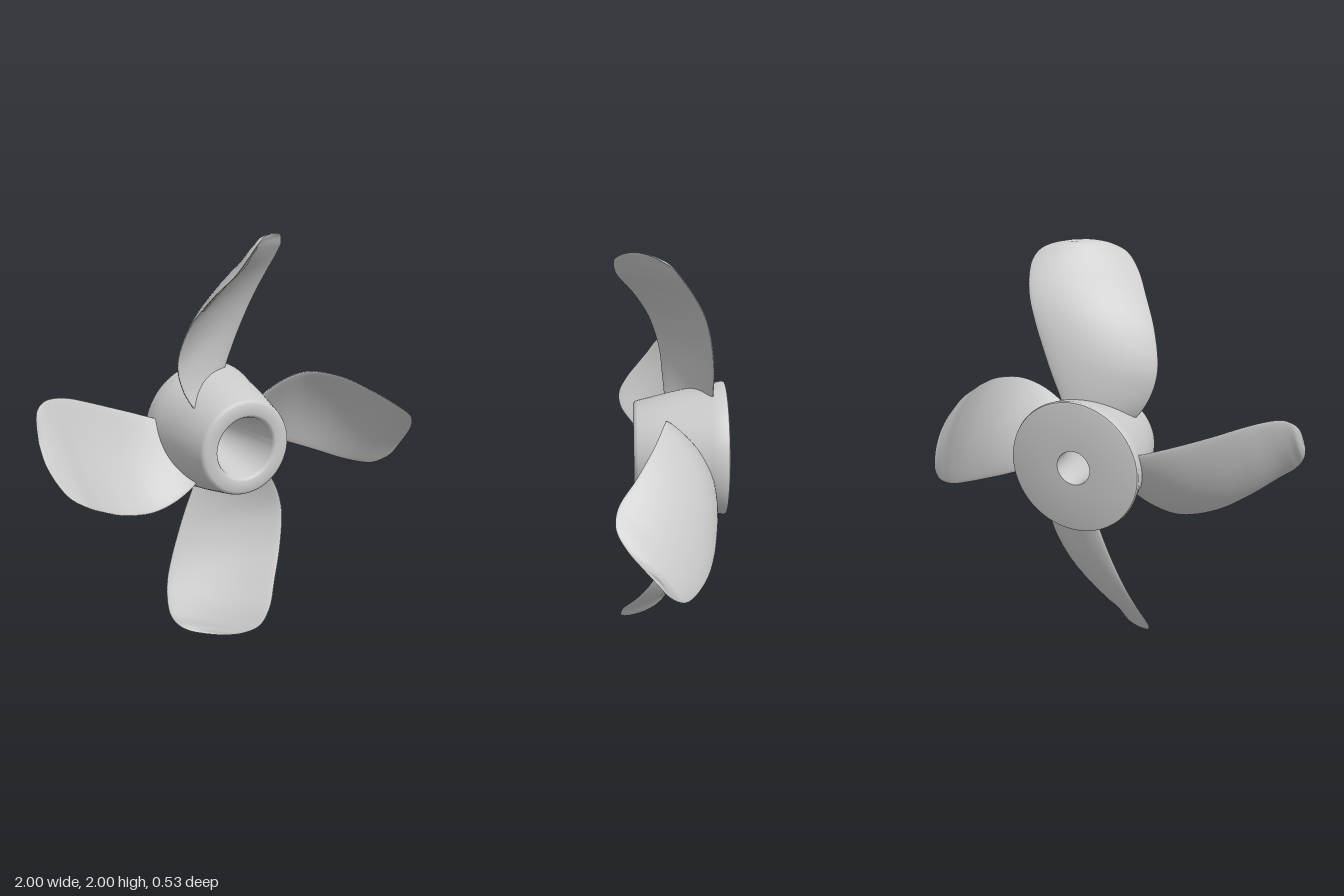
import * as THREE from 'three';
import { toCreasedNormals } from 'three/addons/utils/BufferGeometryUtils.js';

const curve = (pts) => new THREE.CatmullRomCurve3(pts.map((p) => new THREE.Vector3(...p)));

// Upright blade edges, paired from root to tip, measured from the hub axis
const leading = curve([
  [-0.13, 0.13, 0.02], [-0.2, 0.19, 0.02], [-0.265, 0.3, 0.03], [-0.293, 0.43, 0.045],
  [-0.255, 0.6, 0.095], [-0.18, 0.74, 0.17], [-0.1, 0.855, 0.25], [-0.04, 0.93, 0.258],
  [0.03, 0.975, 0.215], [0.1, 0.997, 0.155], [0.175, 1.0, 0.095],
]);
const trailing = curve([
  [0.05, 0.18, -0.2], [0.1, 0.32, -0.2], [0.145, 0.43, -0.2], [0.19, 0.54, -0.19],
  [0.24, 0.66, -0.17], [0.285, 0.77, -0.135], [0.312, 0.87, -0.08], [0.313, 0.925, -0.04],
  [0.29, 0.965, -0.005], [0.25, 0.987, 0.04], [0.175, 1.0, 0.095],
]);

// Loft of thin, cambered sections between the two edges
function bladeGeometry(rows = 60, across = 20) {
  const mid = (u) => leading.getPoint(u).lerp(trailing.getPoint(u), 0.5);
  const positions = [], index = [], ring = across * 2;
  for (let i = 0; i <= rows; i++) {
    const u = Math.min(i / rows, 0.999);
    const a = leading.getPoint(u), b = trailing.getPoint(u);
    const chord = b.clone().sub(a), width = chord.length();
    const span = mid(Math.min(u + 0.01, 1)).sub(mid(Math.max(u - 0.01, 0)));
    const normal = chord.clone().cross(span).normalize();
    const half = THREE.MathUtils.lerp(0.024, 0.011, u) * Math.min(1, width / 0.3);
    for (let j = 0; j < ring; j++) {
      const angle = (j / ring) * Math.PI * 2;
      const s = (1 - Math.cos(angle)) / 2; // 0 at leading edge, 1 at trailing edge
      const offset = half * Math.sin(angle) - 0.08 * width * 4 * s * (1 - s);
      positions.push(...a.clone().lerp(b, s).addScaledVector(normal, offset).toArray());
    }
  }
  for (let i = 0; i < rows; i++) {
    for (let j = 0; j < ring; j++) {
      const p = i * ring + j, q = i * ring + ((j + 1) % ring);
      index.push(p, q, q + ring, p, q + ring, p + ring);
    }
  }
  const geometry = new THREE.BufferGeometry();
  geometry.setAttribute('position', new THREE.Float32BufferAttribute(positions, 3));
  geometry.setIndex(index);
  geometry.computeVertexNormals();
  return geometry;
}

// Tapered hub with a conical bore, turned about its axis
function hubGeometry() {
  const profile = [
    [0.085, -0.27], [0.315, -0.27], [0.326, -0.266], [0.33, -0.255], [0.316, -0.19],
    [0.28, -0.01], [0.24, 0.16], [0.234, 0.173], [0.22, 0.18], [0.168, 0.18],
    [0.158, 0.176], [0.152, 0.165], [0.088, -0.18], [0.085, -0.2], [0.085, -0.27],
  ].map(([r, z]) => new THREE.Vector2(r, z));
  const geometry = new THREE.LatheGeometry(profile, 96);
  geometry.rotateX(Math.PI / 2);
  return toCreasedNormals(geometry, 0.85);
}

export function createModel() {
  const material = new THREE.MeshStandardMaterial({ color: 0xcccccc });
  const model = new THREE.Group();
  model.name = 'propeller';

  const hub = new THREE.Mesh(hubGeometry(), material);
  hub.name = 'hub';
  hub.position.y = 1;
  model.add(hub);

  // Four identical blades, a quarter turn apart
  const geometry = bladeGeometry();
  ['topBlade', 'leftBlade', 'bottomBlade', 'rightBlade'].forEach((name, k) => {
    const blade = new THREE.Mesh(geometry, material);
    blade.name = name;
    blade.position.y = 1;
    blade.rotation.z = (-k * Math.PI) / 2;
    model.add(blade);
  });
  return model;
}
